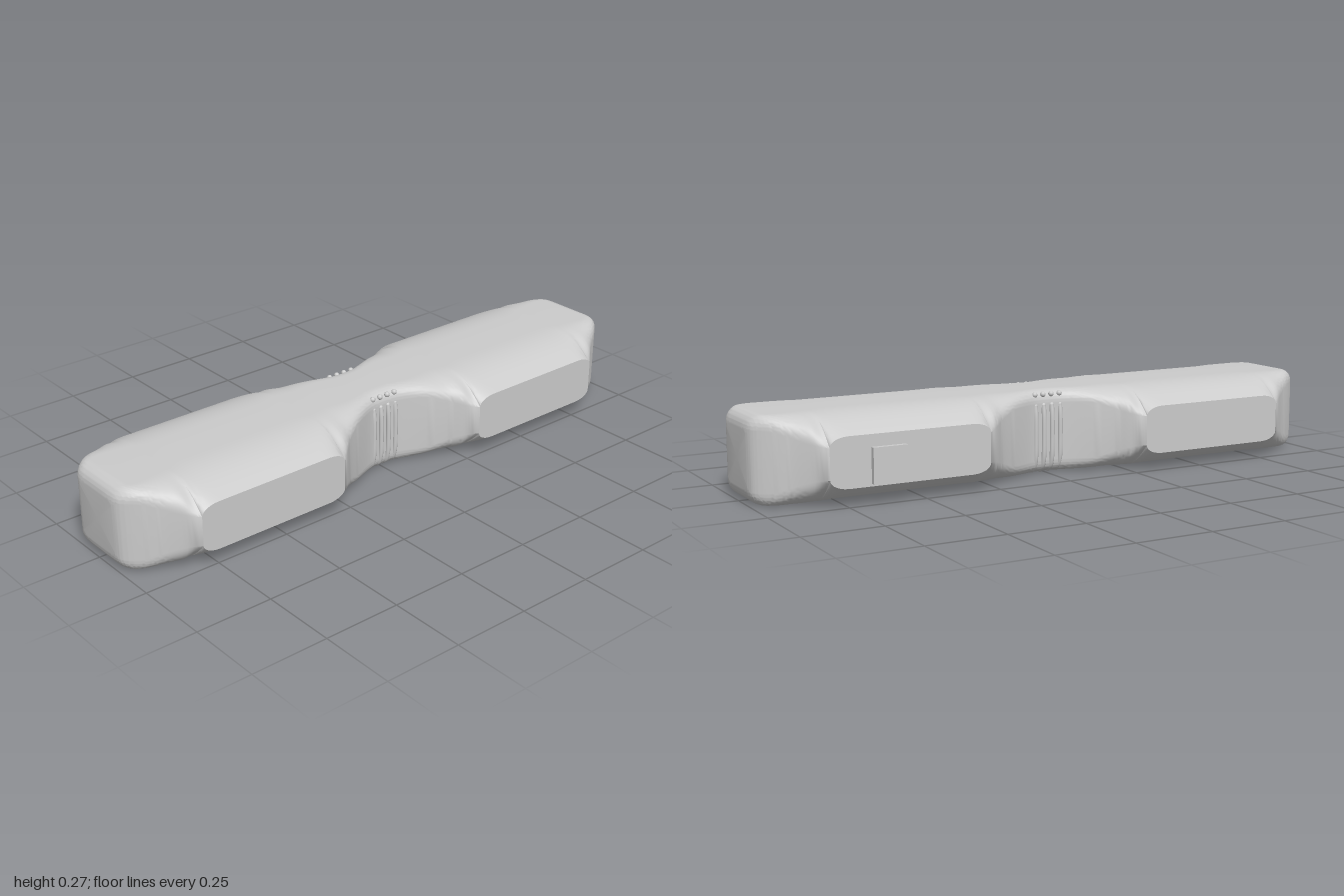
import * as THREE from 'three';
import { toCreasedNormals } from 'three/addons/utils/BufferGeometryUtils.js';

const MID = 0.135, CX = 0.006;          // mid height, body centre in x
const P0 = 0.285, P1 = 0.81, W = 0.26;  // side panel start, end, half width
const { smoothstep, lerp, clamp } = THREE.MathUtils;

// Half outline seen from above, as (z, half width), for z >= 0
function halfOutline() {
  const spline = (pts) => new THREE.SplineCurve(pts.map((p) => new THREE.Vector2(...p)));
  const neck = spline([[0, 0.113], [0.05, 0.118], [0.11, 0.142], [0.2, 0.19], [0.24, 0.222], [P0, W]]).getPoints(36);
  const panel = [];
  for (let i = 1; i < 32; i++) {
    panel.push(new THREE.Vector2(lerp(P0, P1, (1 - Math.cos(Math.PI * i / 32)) / 2), W));
  }
  const end = spline([[P1, W], [0.885, 0.196], [0.935, 0.162], [0.975, 0.13], [0.993, 0.107], [1, 0.085]]).getPoints(40);
  return [...neck, ...panel, ...end];
}

// Quarter section from the top of the body down to the upper edge of its side
function quarterSection(z, w) {
  const fromEnd = 1 - z, R = 0.045;
  const top = fromEnd < R ? MID - R + Math.sqrt(Math.max(0, R * R - (R - fromEnd) ** 2)) : MID;
  const lobe = smoothstep(z, 0.06, 0.36) * (1 - smoothstep(z, 0.75, 0.96));
  const outside = Math.max(P0 - z, z - P1, 0);
  const inside = clamp(Math.min(z - P0, P1 - z), 0, 0.06) / 0.06;
  let side = 0.048 + 0.03 * Math.sqrt(1 - (1 - inside) ** 2);
  side = lerp(side, 0.092, smoothstep(outside, 0, 0.16));
  side = Math.min(side, top * 0.8);
  const flat = Math.max(0.01, w - lerp(0.05, 0.19, lobe));
  const shoulder = w - lerp(0.012, 0.095, lobe);
  const round = smoothstep(outside, 0, 0.04);
  const a = new THREE.Vector2(flat, top), b = new THREE.Vector2(Math.max(shoulder, flat), top);
  const d = new THREE.Vector2(w, side);
  const c = b.clone().lerp(d, 0.5).lerp(new THREE.Vector2(w, lerp(side, top, 0.6)), round);
  return new THREE.CubicBezierCurve(a, b, c, d).getPoints(14);
}

// Closed body lofted through mirrored sections
function bodyGeometry() {
  const half = halfOutline();
  const rows = [...half.slice(1).reverse().map((p) => [-p.x, p.y]), ...half.map((p) => [p.x, p.y])];
  const pos = [], idx = [];
  let n = 0;
  for (const [z, w] of rows) {
    const q = quarterSection(Math.abs(z), w), r = [...q].reverse();
    const ring = [
      ...r.map((p) => [p.x, p.y]), ...q.map((p) => [-p.x, p.y]),
      ...r.map((p) => [-p.x, -p.y]), ...q.map((p) => [p.x, -p.y]),
    ];
    n = ring.length;
    for (const [x, y] of ring) pos.push(x + CX, y + MID, z);
  }
  for (let i = 0; i < rows.length - 1; i++) {
    for (let j = 0; j < n; j++) {
      const k = (j + 1) % n, a = i * n + j, b = i * n + k;
      idx.push(a, b, b + n, a, b + n, a + n);
    }
  }
  const last = (rows.length - 1) * n, centre = rows.length * n;
  pos.push(CX, MID, -1, CX, MID, 1);
  for (let j = 0; j < n; j++) {
    const k = (j + 1) % n;
    idx.push(centre, k, j, centre + 1, last + j, last + k);
  }
  const g = new THREE.BufferGeometry();
  g.setAttribute('position', new THREE.Float32BufferAttribute(pos, 3));
  g.setIndex(idx);
  return toCreasedNormals(g, 0.6);
}

export function createModel() {
  const model = new THREE.Group();
  const mat = new THREE.MeshStandardMaterial({ color: 0xcccccc });
  const add = (name, geo, parent = model) => {
    const m = new THREE.Mesh(geo, mat);
    m.name = name;
    parent.add(m);
    return m;
  };

  add('body', bodyGeometry());

  // Small raised button on one side panel
  add('sideButton', new THREE.BoxGeometry(0.02, 0.11, 0.11)).position.set(-0.26, 0.12, -0.625);

  // Grip ribs around the waist, each with a bead above it
  for (const s of [1, -1]) {
    const grip = new THREE.Group();
    grip.name = s > 0 ? 'leftGrip' : 'rightGrip';
    for (let i = 0; i < 4; i++) {
      const z = (i - 1.5) * 0.03;
      const path = new THREE.CatmullRomCurve3([
        [0.112, 0.222], [0.116, 0.19], [0.117, 0.12], [0.114, 0.05], [0.105, 0.022], [0.088, 0.008],
      ].map(([x, y]) => new THREE.Vector3(s * x + CX, y, z)));
      add('gripRib', new THREE.TubeGeometry(path, 24, 0.008, 10), grip);
      for (const p of [path.getPoint(0), path.getPoint(1)]) {
        add('ribTip', new THREE.SphereGeometry(0.008, 10, 8), grip).position.copy(p);
      }
      add('gripBead', new THREE.SphereGeometry(0.009, 12, 8), grip).position.set(s * 0.108 + CX, 0.257, z);
    }
    model.add(grip);
  }
  return model;
}
